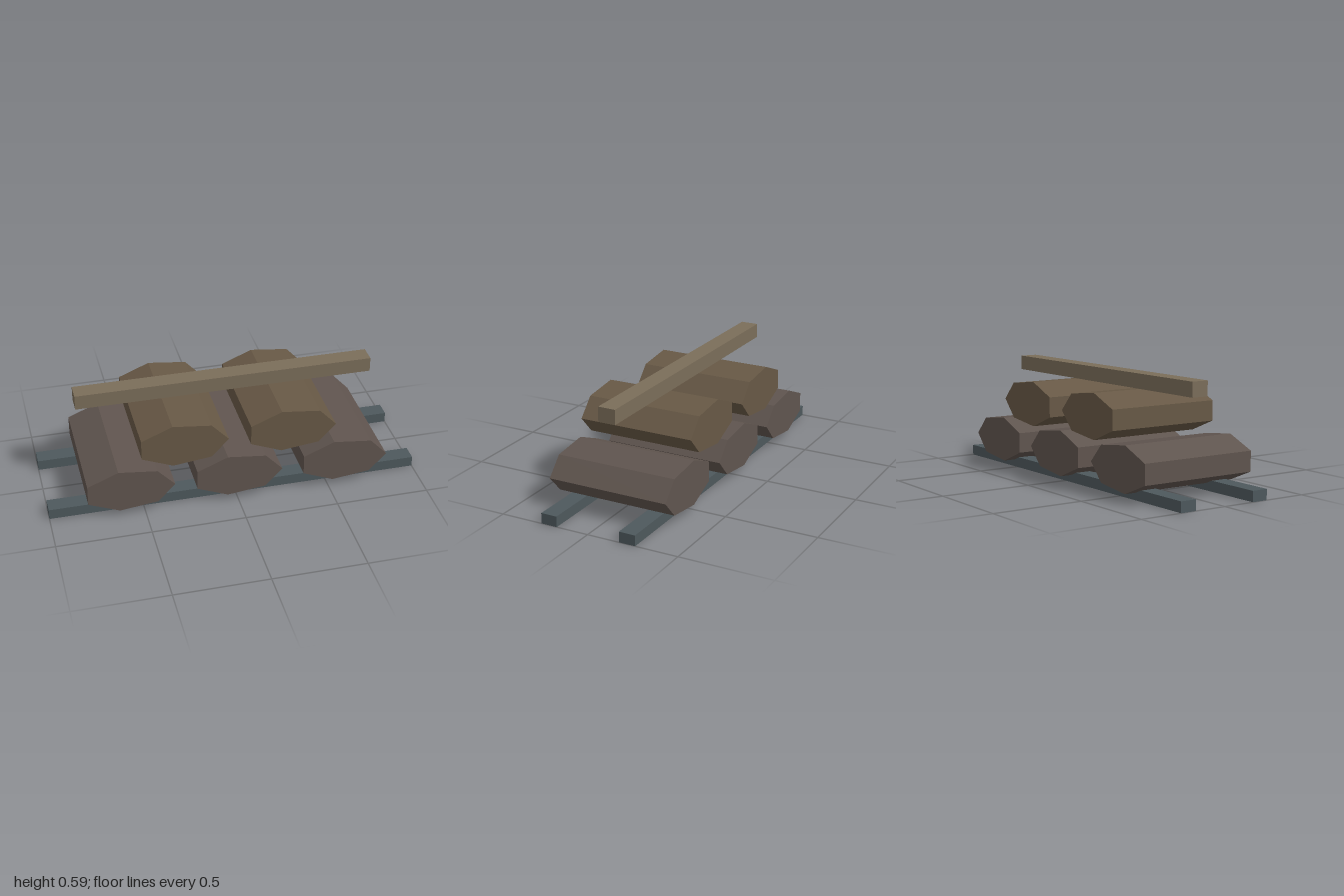
import * as THREE from 'three';

const material = (color) => new THREE.MeshStandardMaterial({ color, flatShading: true });

export function createModel() {
  const model = new THREE.Group();
  model.name = 'logRack';

  const railMaterial = material(0x4d585c);
  const lowerMaterial = material(0x5f544e);
  const upperMaterial = material(0x675845);
  const barMaterial = material(0x7a6d59);

  const add = (name, geometry, mat, x, y, z) => {
    const mesh = new THREE.Mesh(geometry, mat);
    mesh.name = name;
    mesh.position.set(x, y, z);
    model.add(mesh);
  };

  // Seven-sided log lying along z, flattened, with one corner pointing to +x
  const logGeometry = (rx, ry, length) =>
    new THREE.CylinderGeometry(1, 1, length, 7)
      .rotateX(Math.PI / 2)
      .rotateZ(Math.PI / 2)
      .scale(rx, ry, 1);

  // Two ground rails
  const rail = new THREE.BoxGeometry(2, 0.057, 0.089);
  add('leftRail', rail, railMaterial, 0, 0.0285, 0.223);
  add('rightRail', rail, railMaterial, 0, 0.0285, -0.223);

  // Bottom row of three logs
  const lowerLog = logGeometry(0.242, 0.1245, 0.667);
  for (let i = 0; i < 3; i++) {
    add(`lowerLog${i + 1}`, lowerLog, lowerMaterial, -0.582 + i * 0.579, 0.16, 0);
  }

  // Upper row of two logs resting in the gaps
  const upperLog = logGeometry(0.242, 0.1238, 0.638);
  for (let i = 0; i < 2; i++) {
    add(`upperLog${i + 1}`, upperLog, upperMaterial, -0.291 + i * 0.579, 0.388, 0);
  }

  // Crossbar over the top
  add('topBar', new THREE.BoxGeometry(1.6, 0.079, 0.096), barMaterial, 0, 0.5515, 0);

  return model;
}
